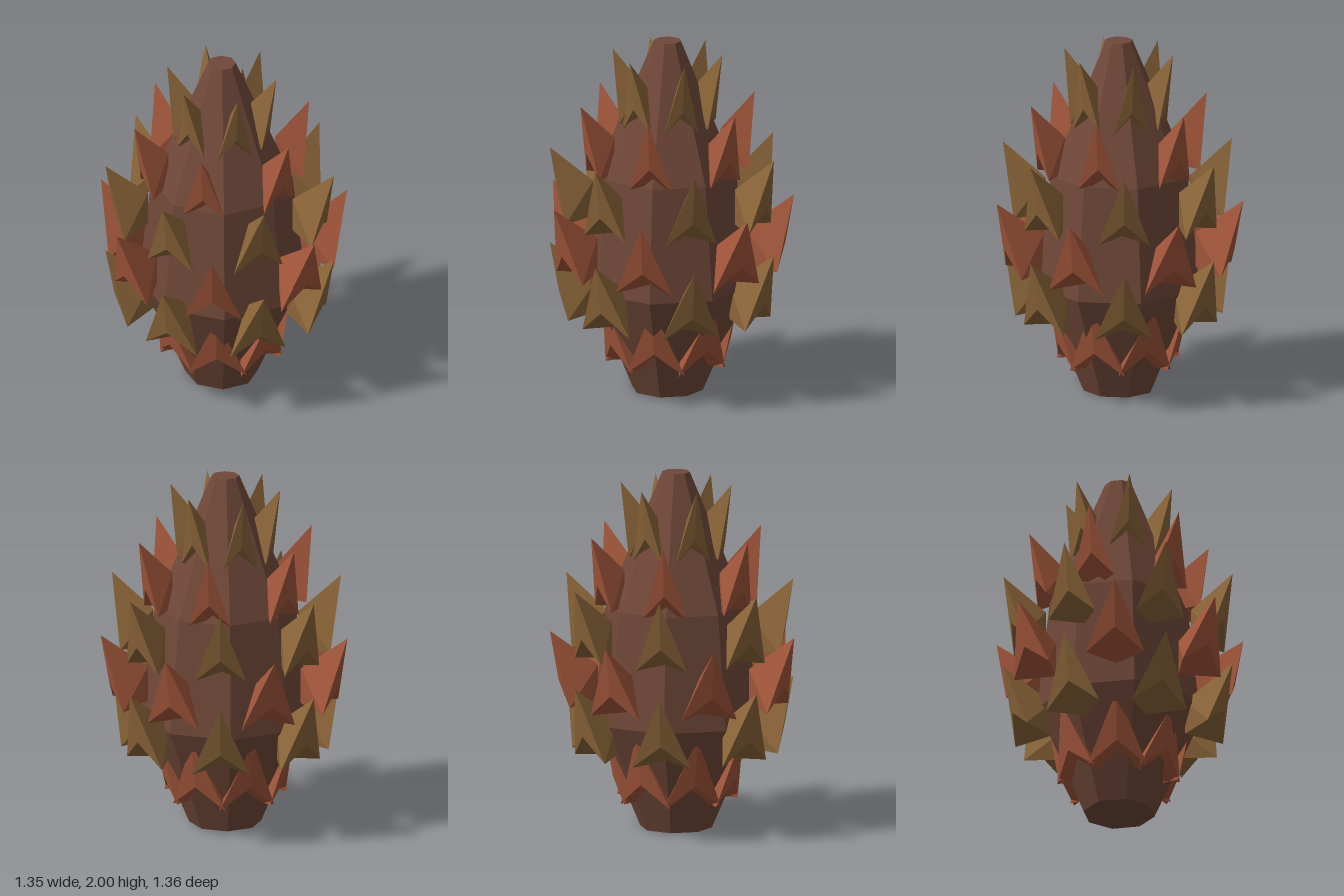
import * as THREE from 'three';

const material = (name, color) => {
  const m = new THREE.MeshStandardMaterial({ color, flatShading: true });
  m.name = name;
  return m;
};

// Pointed scale: folded underside, ridge down the outside; +z points away from the core
function scaleGeometry(tipRadius, halfWidth) {
  const mid = tipRadius - 0.6 * halfWidth;
  const inner = tipRadius - 1.65 * halfWidth;
  const points = {
    tip: [0, 0.405, tipRadius],
    outer: [0, 0.13, mid + 0.3 * halfWidth],
    left: [-halfWidth, 0, mid],
    right: [halfWidth, 0, mid],
    back: [0, 0.21, inner],
    heel: [0, 0.01, inner],
  };
  const faces = [
    'tip left outer', 'tip outer right',
    'tip back left', 'tip right back',
    'back heel left', 'back right heel',
    'outer left heel', 'outer heel right',
  ];
  const positions = faces.flatMap((f) => f.split(' ').flatMap((k) => points[k]));
  const g = new THREE.BufferGeometry();
  g.setAttribute('position', new THREE.Float32BufferAttribute(positions, 3));
  g.computeVertexNormals();
  return g;
}

export function createModel() {
  const model = new THREE.Group();
  model.name = 'pineCone';
  const coreBrown = material('core brown', 0x704839);
  const rust = material('rust scale', 0xa0553a);
  const tan = material('tan scale', 0x8b6539);

  const cone = new THREE.Group();
  cone.name = 'cone';
  cone.position.x = -0.03;
  model.add(cone);

  // Eight-sided core
  const profile = [[0, 0], [0.2, 0], [0.46, 0.61], [0.39, 1.25], [0.077, 2], [0, 2]];
  const core = new THREE.Mesh(
    new THREE.LatheGeometry(profile.map(([r, y]) => new THREE.Vector2(r, y)), 8),
    coreBrown
  );
  core.name = 'core';
  cone.add(core);

  // Rings of scales: [count, tip radius, half width], each ring staggered by half a step
  const rows = [
    [7, 0.4, 0.165],
    [7, 0.65, 0.165],
    [7, 0.7, 0.162],
    [7, 0.65, 0.145],
    [6, 0.505, 0.12],
    [6, 0.31, 0.1],
  ];
  rows.forEach(([count, tipRadius, halfWidth], i) => {
    const ring = new THREE.Group();
    ring.name = `scaleRing${i + 1}`;
    ring.position.y = 0.16 + i * 0.274;
    const geometry = scaleGeometry(tipRadius, halfWidth);
    for (let k = 0; k < count; k++) {
      const scale = new THREE.Mesh(geometry, i % 2 ? tan : rust);
      scale.name = 'scale';
      const angle = ((k + (i % 2) / 2) / count) * Math.PI * 2;
      scale.rotation.y = Math.PI / 2 - angle;
      ring.add(scale);
    }
    cone.add(ring);
  });
  return model;
}
